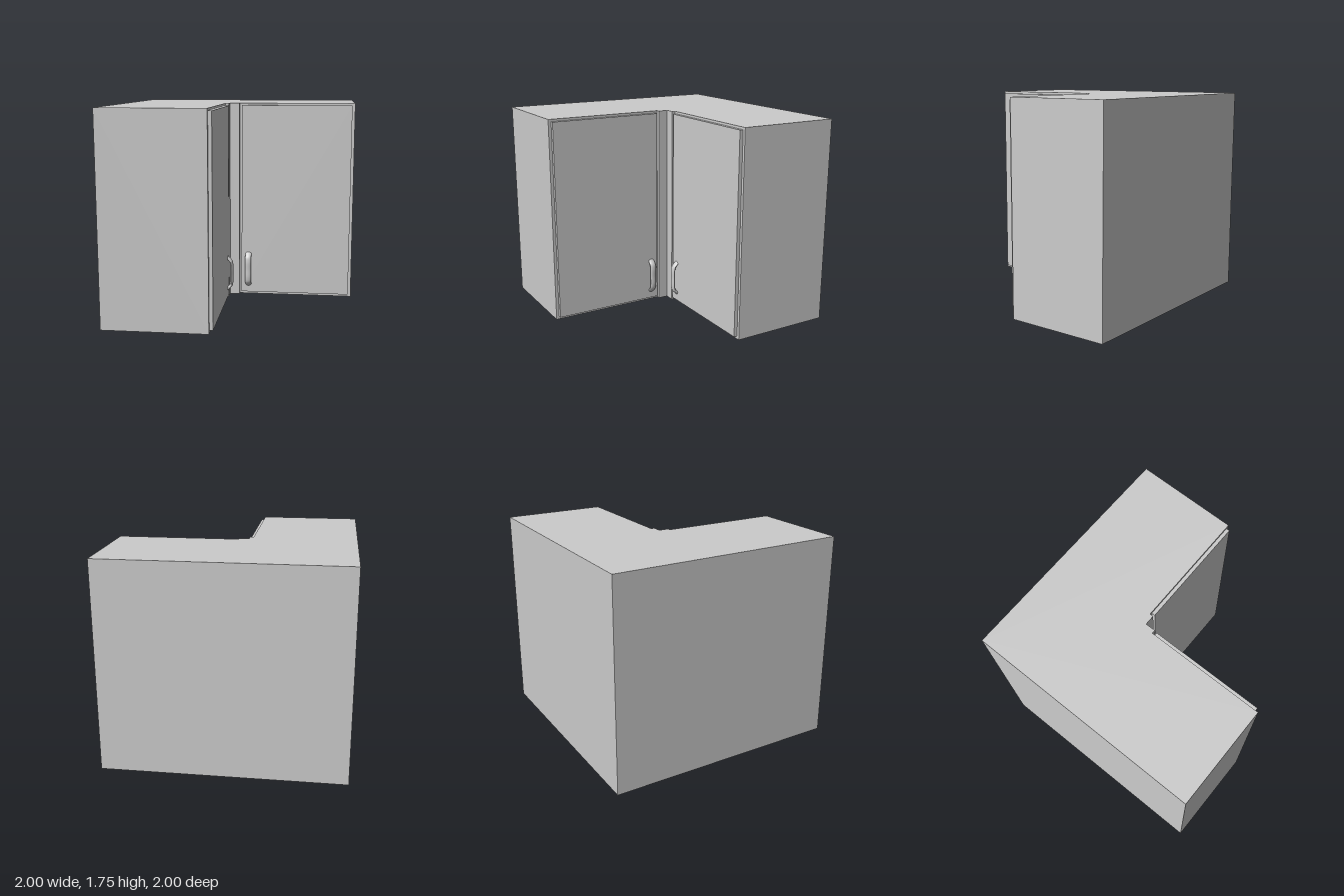
import * as THREE from 'three';

const HEIGHT = 1.75;
const FACE = -0.13;   // carcass front plane
const FRONT = -0.1;   // door front plane

const material = new THREE.MeshStandardMaterial({ color: 0xcccccc });

function addMesh(parent, name, geometry) {
  const mesh = new THREE.Mesh(geometry, material);
  mesh.name = name;
  parent.add(mesh);
  return mesh;
}

// Extrudes a floor plan of [x, z] points upward from y = 0
function extrudePlan(points) {
  const shape = new THREE.Shape(points.map(([x, z]) => new THREE.Vector2(x, -z)));
  const geometry = new THREE.ExtrudeGeometry(shape, { depth: HEIGHT, bevelEnabled: false });
  return geometry.rotateX(-Math.PI / 2);
}

// Bowed pull with an oval section; its feet sink slightly into the door
function handleGeometry() {
  const half = [[0.15, -0.01], [0.14, 0], [0.112, 0.026], [0.075, 0.0345]];
  const profile = [...half, [0, 0.0345], ...half.slice().reverse().map(([y, z]) => [-y, z])];
  const path = new THREE.CatmullRomCurve3(profile.map(([y, z]) => new THREE.Vector3(0, y, z)));
  return new THREE.TubeGeometry(path, 48, 0.0135, 20).scale(2.05, 1, 1);
}

// Door and handle; side = 1 faces +z, side = -1 faces +x
function createDoor(name, side) {
  const door = new THREE.Group();
  door.name = name;
  const panel = addMesh(door, 'doorPanel', new THREE.BoxGeometry(0.97, 1.705, FRONT - FACE));
  panel.position.set(side * 0.49, 0.8775, (FACE + FRONT) / 2);
  const handle = addMesh(door, 'handle', handleGeometry());
  handle.position.set(side * 0.067, 0.24, FRONT);
  if (side < 0) door.rotation.y = Math.PI / 2;
  return door;
}

export function createModel() {
  const model = new THREE.Group();
  model.name = 'cornerCabinet';

  // L-shaped carcass
  addMesh(model, 'carcass', extrudePlan([
    [-1, -1], [-1, 1], [FACE, 1], [FACE, FACE], [1, FACE], [1, -1],
  ]));

  // Filler post in the inner corner
  addMesh(model, 'cornerPost', extrudePlan([
    [FACE, FACE], [FACE, -0.015], [FRONT, -0.015], [FRONT, FRONT], [-0.015, FRONT], [-0.015, FACE],
  ]));

  model.add(createDoor('frontDoor', 1), createDoor('sideDoor', -1));
  return model;
}
